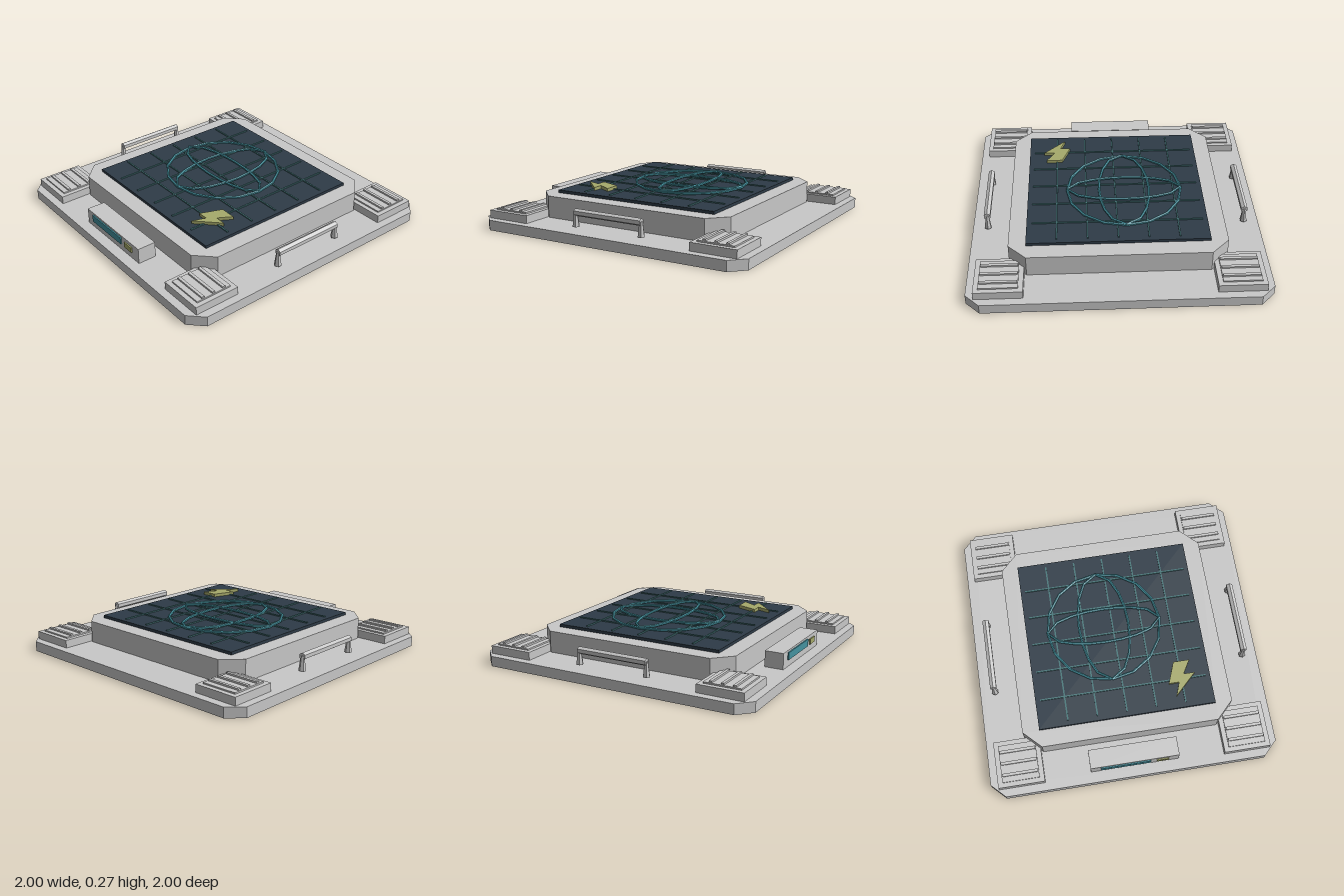
import * as THREE from 'three';

const material = (name, color) => {
  const m = new THREE.MeshStandardMaterial({ color, flatShading: true });
  m.name = name;
  return m;
};

// Closed ellipse lying flat in the xz plane
class FlatEllipse extends THREE.Curve {
  constructor(rx, rz) {
    super();
    this.rx = rx;
    this.rz = rz;
  }
  getPoint(t, target = new THREE.Vector3()) {
    const a = t * Math.PI * 2;
    return target.set(this.rx * Math.cos(a), 0, this.rz * Math.sin(a));
  }
}

export function createModel() {
  const root = new THREE.Group();
  root.name = 'floorConsole';

  const grey = material('light grey casing', 0xc8c8c8);
  const navy = material('dark navy screen', 0x2e3b47);
  const teal = material('bright teal', 0x45929f);
  const gridTeal = material('muted teal grid', 0x47777a);
  const yellow = material('dull yellow', 0xa6aa6b);

  const add = (name, geometry, mat, x = 0, y = 0, z = 0, parent = root) => {
    const mesh = new THREE.Mesh(geometry, mat);
    mesh.name = name;
    mesh.position.set(x, y, z);
    parent.add(mesh);
    return mesh;
  };
  // Box given by its size, centre in x and z, and bottom height
  const box = (name, mat, w, h, d, x, y, z, parent) =>
    add(name, new THREE.BoxGeometry(w, h, d), mat, x, y + h / 2, z, parent);

  // Flat slab extruded upwards from an outline of [x, z] points
  const slab = (name, mat, points, y, h) => {
    const shape = new THREE.Shape(points.map(([x, z]) => new THREE.Vector2(x, -z)));
    const geometry = new THREE.ExtrudeGeometry(shape, { depth: h, bevelEnabled: false });
    geometry.rotateX(-Math.PI / 2);
    return add(name, geometry, mat, 0, y, 0);
  };
  const chamferedSquare = (r, c) => [
    [r, r - c], [r - c, r], [c - r, r], [-r, r - c],
    [-r, c - r], [c - r, -r], [r - c, -r], [r, c - r],
  ];

  // Chamfered base and raised housing
  slab('base', grey, chamferedSquare(1, 0.095), 0, 0.07);
  slab('housing', grey, chamferedSquare(0.73, 0.12), 0.07, 0.15);

  // Screen with grid lines
  box('screen', navy, 1.226, 0.02, 1.226, 0, 0.22, 0);
  for (let i = -2; i <= 2; i++) {
    const p = i * 0.205;
    box('gridLineAlong', gridTeal, 0.01, 0.008, 1.16, p, 0.24, 0);
    box('gridLineAcross', gridTeal, 1.16, 0.008, 0.01, 0, 0.24, p);
  }

  // Wire globe: outline, meridian and equator
  const rings = [
    ['globeOutline', 0.4, 0.4, 0.25],
    ['globeMeridian', 0.176, 0.4, 0.254],
    ['globeEquator', 0.4, 0.125, 0.257],
  ];
  for (const [name, rx, rz, y] of rings) {
    add(name, new THREE.TubeGeometry(new FlatEllipse(rx, rz), 16, 0.01, 6, true), teal, -0.062, y, -0.062);
  }

  // Lightning bolt sign
  slab('bolt', yellow, [
    [0.374, 0.287], [0.487, 0.287], [0.43, 0.383], [0.508, 0.383],
    [0.353, 0.533], [0.388, 0.437], [0.316, 0.437],
  ], 0.24, 0.022);

  // Front control box with display and lamp
  box('controlBox', grey, 0.614, 0.11, 0.13, 0, 0.07, 0.858);
  box('display', teal, 0.345, 0.05, 0.009, -0.063, 0.117, 0.9275);
  box('lamp', yellow, 0.083, 0.038, 0.009, 0.193, 0.117, 0.9275);

  // Slatted vents on the four corners
  for (const sx of [-1, 1]) {
    for (const sz of [-1, 1]) {
      const vent = new THREE.Group();
      vent.name = 'cornerVent';
      vent.position.set(sx * 0.785, 0, sz * 0.785);
      root.add(vent);
      box('ventBlock', grey, 0.32, 0.055, 0.32, 0, 0.07, 0, vent);
      box('ventPlate', grey, 0.256, 0.01, 0.256, 0, 0.125, 0, vent);
      for (const z of [-0.08, 0, 0.08]) box('ventSlat', grey, 0.246, 0.012, 0.02, 0, 0.135, z, vent);
    }
  }

  // Side handles: six-sided bar on two legs that flare downwards
  for (const sx of [-1, 1]) {
    const handle = new THREE.Group();
    handle.name = sx > 0 ? 'leftHandle' : 'rightHandle';
    handle.position.x = sx * 0.893;
    root.add(handle);
    const bar = new THREE.CylinderGeometry(0.025, 0.025, 0.51, 6);
    bar.rotateX(Math.PI / 2);
    add('handleBar', bar, grey, 0, 0.186, 0, handle);
    for (const sz of [-1, 1]) {
      const leg = new THREE.CylinderGeometry(0.012, 0.025, 0.1, 6);
      add('handleLeg', leg, grey, 0, 0.14, sz * 0.252, handle);
    }
  }

  return root;
}
